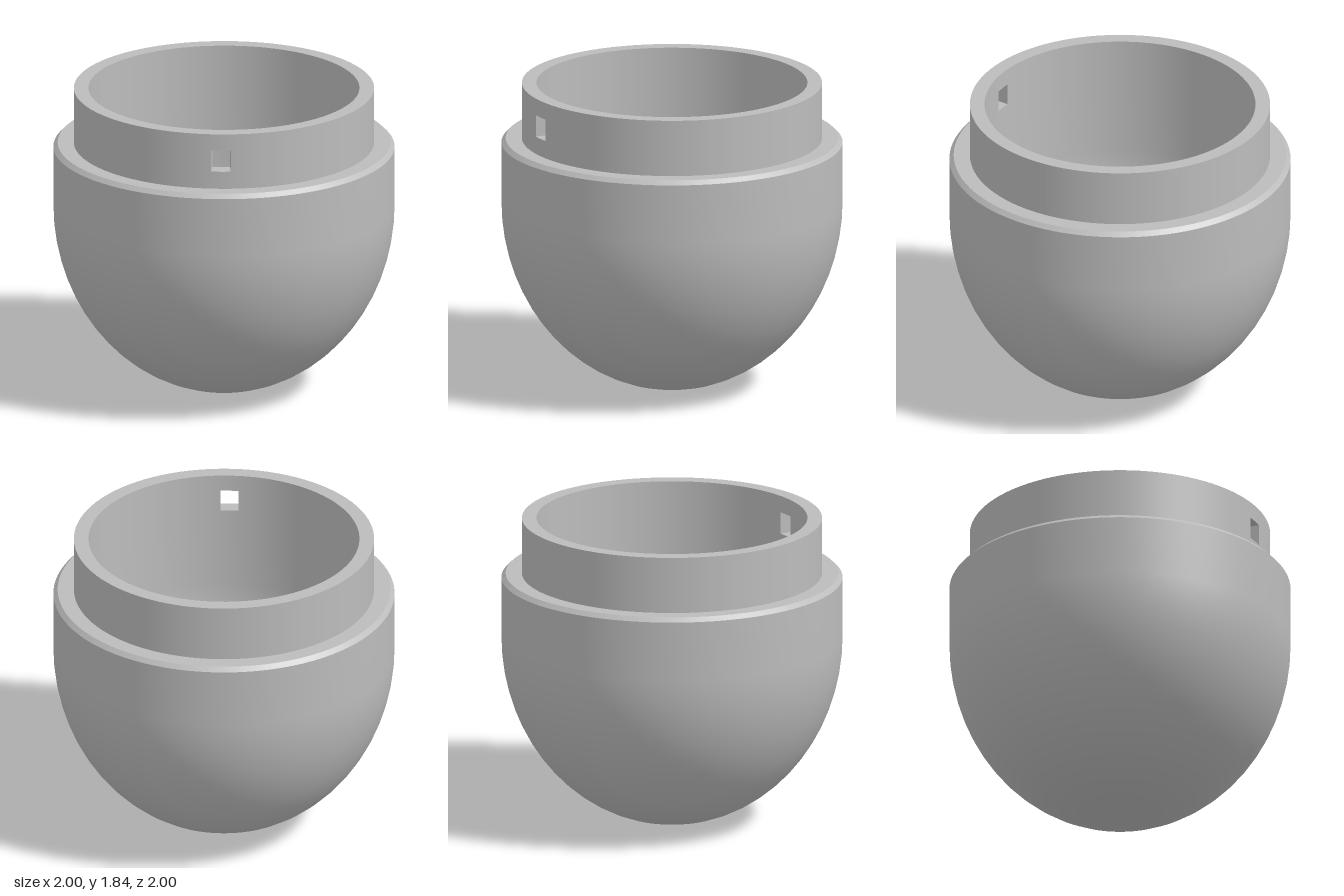
import * as THREE from 'three';

const R_OUT = 1, R_COLLAR = 0.88, R_IN = 0.794;
const Y_EQUATOR = 1.12, Y_SHOULDER = 1.5, Y_RIM = 1.835;
const HOLE_LOW = 1.605, HOLE_HIGH = 1.735, HOLE_ANGLE = 0.066;

const v = (x, y) => new THREE.Vector2(x, y);

// Quarter ellipse from the pole up to the equator
function quarter(rx, ry, steps) {
  return Array.from({ length: steps + 1 }, (_, i) => {
    const t = (i / steps) * Math.PI / 2;
    return v(rx * Math.sin(t), Y_EQUATOR - ry * Math.cos(t));
  });
}

// Rectangular ring section; doubled corners keep the edges sharp
function ringProfile(y0, y1, closed) {
  const pts = [
    v(R_COLLAR, y0), v(R_COLLAR, y1), v(R_COLLAR, y1),
    v(R_IN, y1), v(R_IN, y1), v(R_IN, y0)
  ];
  if (closed) pts.push(v(R_IN, y0), v(R_COLLAR, y0));
  return pts;
}

export function createModel() {
  const group = new THREE.Group();
  const grey = new THREE.MeshStandardMaterial({ color: 0xbcbcbc });
  grey.name = 'plain grey';

  const add = (name, geometry) => {
    const mesh = new THREE.Mesh(geometry, grey);
    mesh.name = name;
    group.add(mesh);
    return mesh;
  };

  // Rounded bowl with a chamfered shoulder
  add('bowl', new THREE.LatheGeometry([
    ...quarter(R_OUT, Y_EQUATOR, 16),
    v(R_OUT, 1.475), v(R_OUT, 1.475),
    v(0.975, Y_SHOULDER), v(0.975, Y_SHOULDER),
    v(R_COLLAR, Y_SHOULDER)
  ], 96));

  // Hollow inside, running down from the collar
  add('cavity', new THREE.LatheGeometry([
    v(R_IN, Y_SHOULDER),
    ...quarter(R_IN, 0.91, 16).reverse()
  ], 96));

  // Collar: one long arc, and short bridges under and over the front hole
  const arc = 2 * HOLE_ANGLE;
  add('collar', new THREE.LatheGeometry(
    ringProfile(Y_SHOULDER, Y_RIM), 94, HOLE_ANGLE, Math.PI * 2 - arc));
  add('collarUnderHole', new THREE.LatheGeometry(
    ringProfile(Y_SHOULDER, HOLE_LOW), 2, -HOLE_ANGLE, arc));
  add('collarOverHole', new THREE.LatheGeometry(
    ringProfile(HOLE_HIGH, Y_RIM, true), 2, -HOLE_ANGLE, arc));

  // Side walls of the hole
  const mid = (R_COLLAR + R_IN) / 2;
  for (const s of [-1, 1]) {
    const wall = add(s > 0 ? 'leftHoleWall' : 'rightHoleWall',
      new THREE.PlaneGeometry(R_COLLAR - R_IN, HOLE_HIGH - HOLE_LOW));
    wall.position.set(s * mid * Math.sin(HOLE_ANGLE), (HOLE_LOW + HOLE_HIGH) / 2, mid * Math.cos(HOLE_ANGLE));
    wall.rotation.y = s * (HOLE_ANGLE - Math.PI / 2);
  }

  return group;
}
